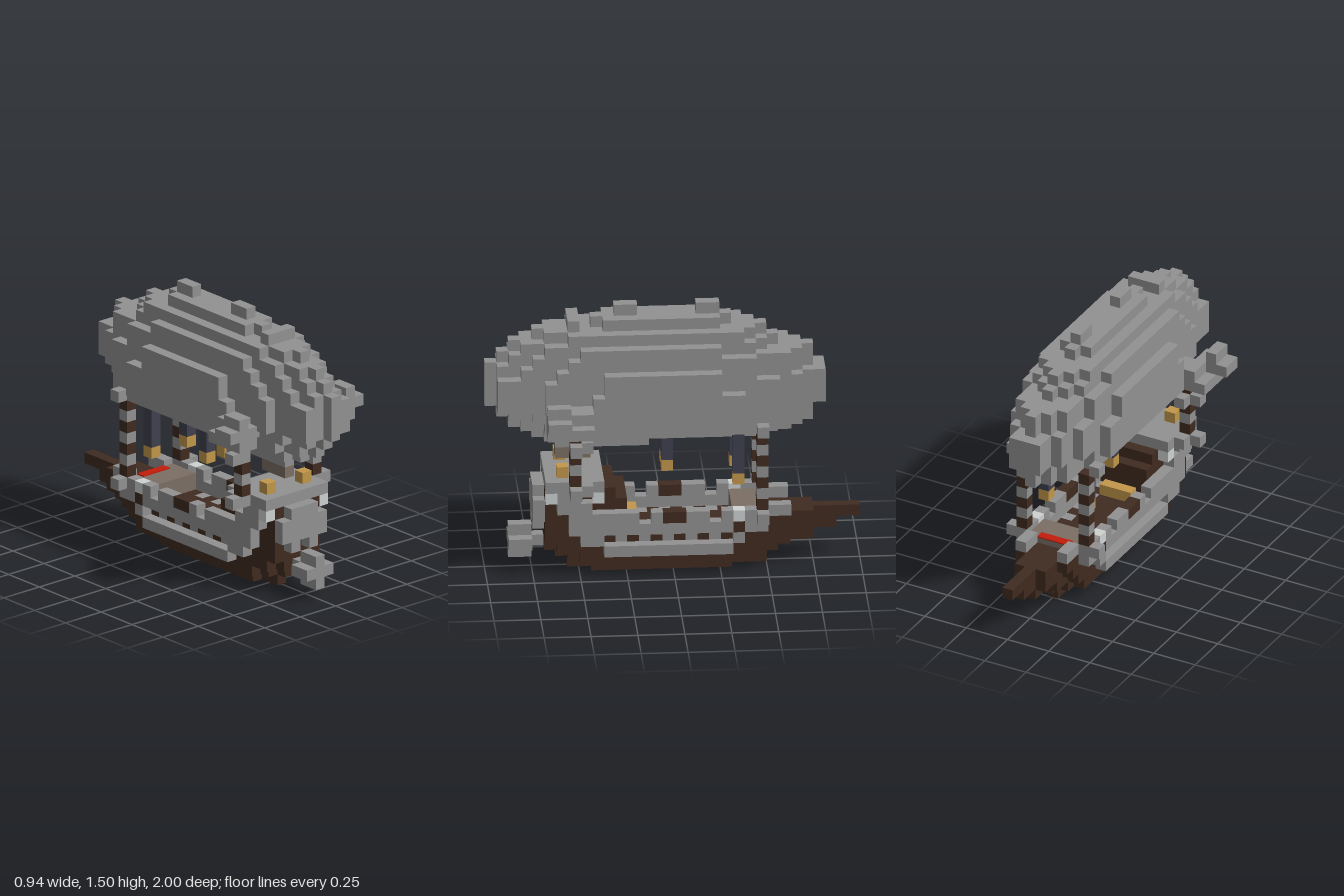
import * as THREE from 'three';

const U = 0.0625; // block size

const mat = (name, color) => {
  const m = new THREE.MeshStandardMaterial({ color });
  m.name = name;
  return m;
};

export function createModel() {
  const grey = mat('grey stone', 0x919191);
  const brown = mat('dark wood', 0x402b20);
  const navy = mat('navy chain', 0x404050);
  const gold = mat('lantern gold', 0xc2974a);
  const taupe = mat('taupe wood', 0x7c6f64);
  const pale = mat('pale lamp', 0xced2d1);
  const red = mat('red cloth', 0xc41c0a);

  const model = new THREE.Group();
  const part = (name) => {
    const g = new THREE.Group();
    g.name = name;
    model.add(g);
    return g;
  };

  // Box in block units: columns i0..i1 (inclusive, 0 is the middle), edges y0..y1 and k0..k1 (k = 0 at the bow)
  const box = (g, m, i0, i1, y0, y1, k0, k1) => {
    const geo = new THREE.BoxGeometry((i1 - i0 + 1) * U, (y1 - y0) * U, (k1 - k0) * U);
    const mesh = new THREE.Mesh(geo, m);
    mesh.position.set(((i0 + i1) / 2) * U, ((y0 + y1) / 2) * U, -1 + ((k0 + k1) / 2) * U);
    mesh.name = g.name + 'Block';
    g.add(mesh);
  };
  const wide = (g, m, w, ...r) => box(g, m, -w, w, ...r);
  const pair = (g, m, i0, i1, ...r) => {
    box(g, m, i0, i1, ...r);
    box(g, m, -i1, -i0, ...r);
  };

  // Balloon: each tier has a keel line k0..k1 and shortens at both ends as it widens
  const balloon = part('balloon');
  const blunt = { bow: [0, 0, 2, 4], stern: [0, 1, 1, 5] };
  const round = { bow: [0, 1, 2, 5], stern: [0, 1, 3, 6] };
  const tier = (y0, y1, k0, k1, widest, ends) => {
    for (let w = 0; w <= widest; w++) wide(balloon, grey, w, y0, y1, k0 + ends.bow[w], k1 - ends.stern[w]);
  };
  tier(12, 13, 7, 28, 1, round);
  tier(13, 14, 4, 30, 3, round);
  tier(14, 15, 4, 31, 3, round);
  tier(15, 18, 3, 32, 3, blunt);
  tier(18, 19, 4, 32, 3, round);
  tier(19, 20, 4, 31, 3, round);
  tier(20, 21, 7, 30, 3, round);
  tier(21, 22, 8, 28, 2, round);
  tier(22, 23, 11, 23, 1, round);

  // Side bulges, ridge and keel of the balloon
  wide(balloon, grey, 4, 14, 17, 10, 23);
  wide(balloon, grey, 4, 17, 19, 12, 22);
  wide(balloon, grey, 1, 22, 23, 24, 25);
  for (const k of [12, 19]) wide(balloon, grey, 0, 23, 24, k, k + 2);
  wide(balloon, grey, 0, 11, 12, 18, 26);

  // Side fins
  const fins = part('sideFins');
  pair(fins, grey, 4, 6, 14, 15, 23, 25);
  pair(fins, grey, 4, 5, 15, 16, 23, 25);
  pair(fins, grey, 5, 6, 14, 15, 25, 27);
  pair(fins, grey, 5, 7, 15, 16, 25, 27);
  pair(fins, grey, 6, 6, 16, 17, 25, 27);

  // Burner blocks under the balloon
  wide(part('burner'), taupe, 0, 10, 11, 23, 26);

  // Hull, tapering towards both ends
  const hull = part('hull');
  wide(hull, brown, 0, 0, 1, 8, 25);
  wide(hull, brown, 1, 0, 1, 11, 23);
  wide(hull, brown, 0, 1, 2, 7, 26);
  wide(hull, brown, 1, 1, 2, 8, 25);
  wide(hull, brown, 2, 1, 2, 9, 24);
  wide(hull, brown, 0, 2, 3, 4, 27);
  wide(hull, brown, 1, 2, 3, 6, 27);
  wide(hull, brown, 2, 2, 3, 8, 26);
  wide(hull, brown, 0, 3, 4, 2, 4);
  wide(hull, brown, 1, 3, 4, 4, 22);
  wide(hull, brown, 2, 3, 4, 7, 11);
  wide(hull, brown, 2, 3, 4, 22, 27);
  wide(hull, brown, 2, 4, 5, 6, 8);
  wide(hull, brown, 1, 4, 5, 4, 6);
  wide(part('bowsprit'), brown, 0, 4, 5, 0, 4);

  // Single-block plank along both sides
  const plank = (g, m, y, k0, k1) => pair(g, m, 3, 3, y, y + 1, k0, k1);

  // Strakes with a recessed checkered band between them
  const strakes = part('strakes');
  plank(strakes, grey, 2, 11, 22);
  for (let k = 11; k < 22; k++) pair(strakes, k % 2 ? brown : grey, 2, 2, 3, 4, k, k + 1);
  plank(strakes, grey, 3, 22, 24);
  plank(strakes, grey, 3, 10, 11);
  plank(strakes, grey, 4, 8, 10);
  plank(strakes, brown, 4, 10, 11);
  plank(strakes, grey, 4, 11, 25);

  // Bulwark with gaps and lamps
  const bulwark = part('bulwark');
  pair(bulwark, grey, 2, 2, 5, 6, 6, 8);
  plank(bulwark, grey, 5, 8, 10);
  plank(bulwark, pale, 5, 10, 11);
  plank(bulwark, grey, 5, 11, 12);
  plank(bulwark, grey, 5, 13, 15);
  plank(bulwark, brown, 5, 15, 17);
  plank(bulwark, grey, 5, 17, 18);
  plank(bulwark, grey, 5, 19, 25);
  plank(bulwark, grey, 6, 23, 26);
  plank(bulwark, grey, 7, 24, 26);
  for (const k of [22, 26]) plank(bulwark, pale, 7, k, k + 1);

  // Fore deck with a red cloth
  const foreDeck = part('foreDeck');
  wide(foreDeck, taupe, 2, 4, 5.5, 8, 11);
  wide(foreDeck, red, 1, 5.5, 5.6, 8, 8.8);

  // Stern cabin, stairs, upper deck and chest
  const cabin = part('sternCabin');
  wide(cabin, brown, 2, 4, 6, 21, 27);
  wide(cabin, brown, 2, 6, 7, 20, 27);
  wide(cabin, brown, 2, 7, 8, 21, 27);
  wide(cabin, grey, 3, 8, 9, 22, 27);
  wide(part('chest'), gold, 1, 4, 5, 19, 20);

  // Stern panel
  const panel = part('sternPanel');
  pair(panel, grey, 1, 1, 4, 5, 27, 28);
  wide(panel, grey, 2, 5, 7, 27, 28);
  wide(panel, grey, 1, 7, 8, 27, 28);

  // Propeller
  const propeller = part('propeller');
  wide(propeller, grey, 0, 2, 3, 27, 28);
  wide(propeller, grey, 0, 1, 4, 28, 30);
  pair(propeller, grey, 1, 1, 2, 3, 28, 30);

  // Banded posts holding the balloon, with brackets
  const posts = part('posts');
  for (let y = 6; y < 13; y++) pair(posts, y % 2 ? grey : brown, 3, 3, y, y + 1, 8, 9);
  for (let y = 8; y < 14; y++) pair(posts, y % 2 ? brown : grey, 4, 4, y, y + 1, 24, 25);
  for (const y of [5, 13]) pair(posts, grey, 4, 4, y, y + 1, 8, 9);
  for (const y of [8, 12]) {
    pair(posts, grey, 5, 5, y, y + 1, 24, 25);
    pair(posts, grey, 4, 4, y, y + 1, 23, 24);
  }

  // Lanterns hanging from the balloon and standing on the stern
  const lanterns = part('lanterns');
  const hanging = (i, y, top, k) => {
    pair(lanterns, gold, i, i, y, y + 1, k, k + 1);
    pair(lanterns, navy, i, i, y + 1, top, k, k + 1);
  };
  hanging(1, 9, 12, 16);
  hanging(2, 8, 13, 10);
  pair(lanterns, gold, 2, 2, 9, 10, 25, 26);

  return model;
}
